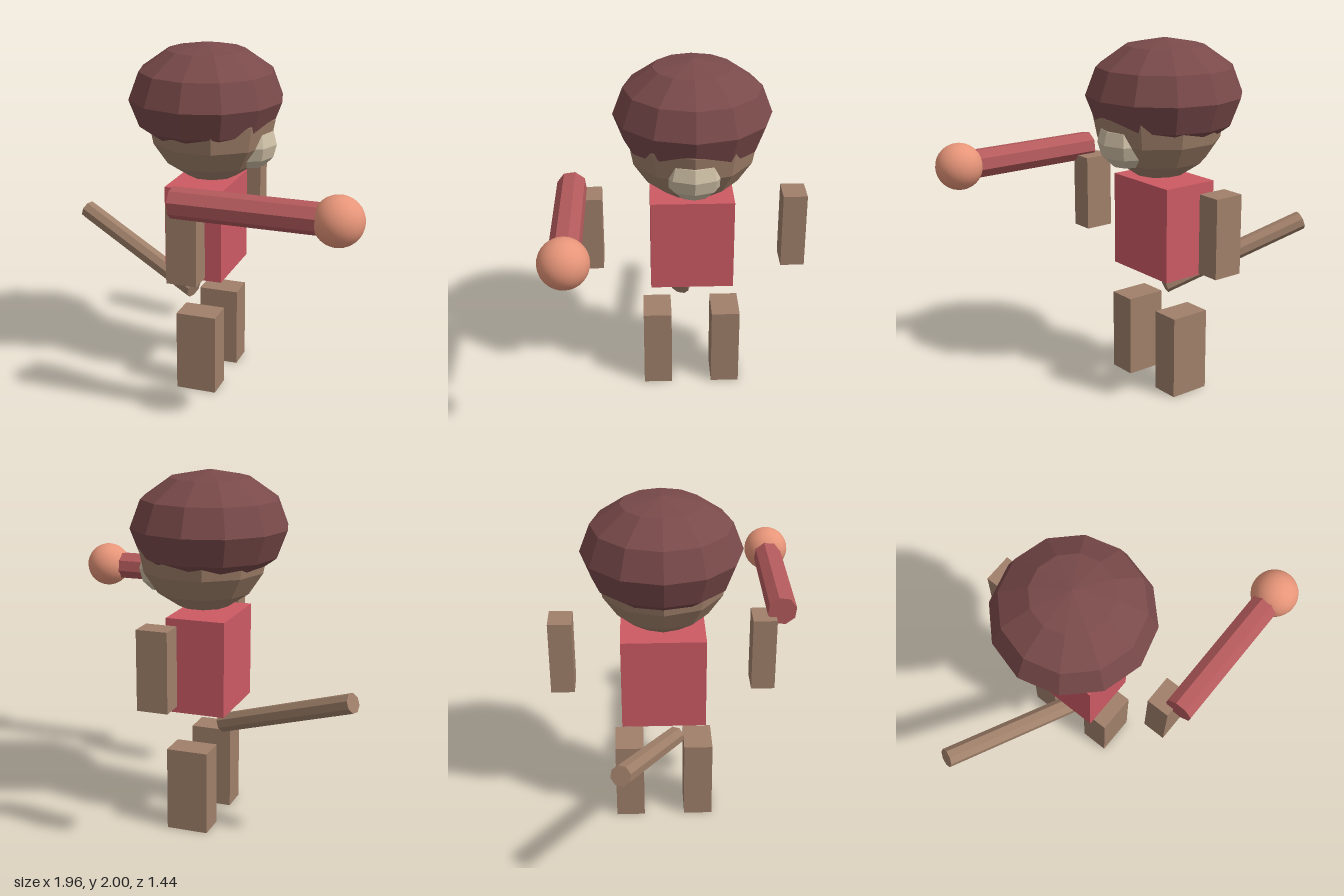
import * as THREE from 'three';

const mat = (name, color, flat = true) => {
  const m = new THREE.MeshStandardMaterial({ color, flatShading: flat });
  m.name = name;
  return m;
};

export function createModel() {
  const fur = mat('brownFur', 0xa0806a);
  const red = mat('redCloth', 0xcd5a64);
  const sleeveRed = mat('sleeveRed', 0xb45a5c);
  const maroon = mat('maroonHat', 0x7a4a4a);
  const cream = mat('creamMuzzle', 0xcfc0a6);
  const salmon = mat('salmonBall', 0xe8967a, false);

  const model = new THREE.Group();
  model.name = 'figure';

  const add = (name, geometry, material, x, y, z) => {
    const mesh = new THREE.Mesh(geometry, material);
    mesh.name = name;
    mesh.position.set(x, y, z);
    model.add(mesh);
    return mesh;
  };
  const blob = (name, material, pos, radii, w, h) =>
    add(name, new THREE.SphereGeometry(1, w, h), material, ...pos).scale.set(...radii);

  // Eight-sided rod between two points
  const rod = (name, material, from, to, radius, twist) => {
    const a = new THREE.Vector3(...from), b = new THREE.Vector3(...to);
    const dir = b.clone().sub(a);
    const geometry = new THREE.CylinderGeometry(radius, radius, dir.length(), 8);
    geometry.rotateY(twist);
    const mid = a.clone().add(b).multiplyScalar(0.5);
    const mesh = add(name, geometry, material, mid.x, mid.y, mid.z);
    mesh.quaternion.setFromUnitVectors(new THREE.Vector3(0, 1, 0), dir.normalize());
  };

  // Body centre line in z
  const cz = -0.083;

  // Torso
  add('torso', new THREE.BoxGeometry(0.335, 0.535, 0.473), red, -0.078, 0.947, cz);

  // Paired limbs, mirrored about the body centre
  for (const [side, s] of [['front', 1], ['back', -1]]) {
    add(side + 'Leg', new THREE.BoxGeometry(0.235, 0.473, 0.165), fur, -0.048, 0.2365, cz + s * 0.201);
    add(side + 'Arm', new THREE.BoxGeometry(0.17, 0.435, 0.135), fur, 0.005, 1.032, cz + s * 0.573);
  }

  // Head with a muzzle on the +x side, and a flattened round hat
  blob('head', fur, [-0.045, 1.59, cz], [0.37, 0.37, 0.37], 10, 8);
  blob('muzzle', cream, [0.19, 1.45, cz], [0.145, 0.147, 0.168], 8, 6);
  blob('hat', maroon, [-0.08, 1.69, cz - 0.003], [0.44, 0.31, 0.44], 12, 6);

  // Held rod with a ball on its end
  rod('clubRod', sleeveRed, [-0.03, 1.285, 0.588], [0.82, 1.285, 0.588], 0.084, Math.PI / 6);
  add('clubBall', new THREE.SphereGeometry(0.132, 32, 16), salmon, 0.848, 1.285, 0.588);

  // Tail
  rod('tail', fur, [-0.14, 0.54, -0.02], [-0.957, 0.85, -0.32], 0.056, 0);

  return model;
}
